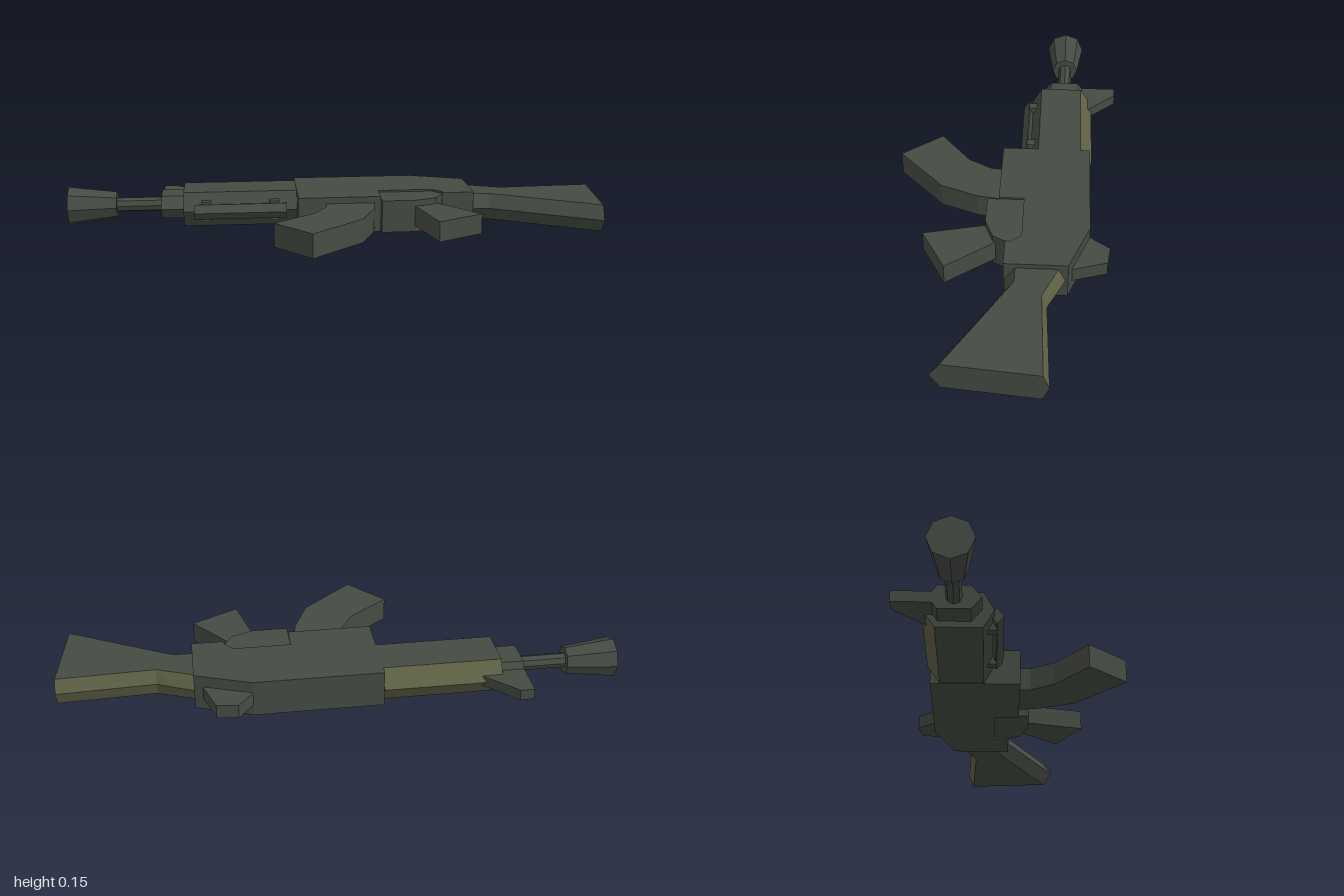
import * as THREE from 'three';

const MID = 0.076; // height of the plane of symmetry

export function createModel() {
  const model = new THREE.Group();
  const metal = new THREE.MeshStandardMaterial({ color: 0x454b43 });
  metal.name = 'greyGreenMetal';
  const olive = new THREE.MeshStandardMaterial({ color: 0x5f6145 });
  olive.name = 'olive';

  function add(name, geometry, material = metal) {
    const mesh = new THREE.Mesh(geometry, material);
    mesh.name = name;
    model.add(mesh);
    return mesh;
  }

  // Flat plate: outline in (x, z), thickness centred on MID
  function plate(name, points, half) {
    const shape = new THREE.Shape(points.map(([x, z]) => new THREE.Vector2(x, -z)));
    const g = new THREE.ExtrudeGeometry(shape, { depth: half * 2, bevelEnabled: false });
    g.rotateX(-Math.PI / 2).translate(0, MID - half, 0);
    add(name, g);
  }

  // Six-sided loft along x. Section: [x at top, x at bottom, top ridge z, top flat z, bottom flat z, bottom ridge z]
  function hexLoft(name, sections, half, topMaterial = metal) {
    const rings = sections.map(([xa, xb, a, b, c, d]) => [[0, a], [half, b], [half, c], [0, d], [-half, c], [-half, b]]
      .map(([y, z]) => [xa + (xb - xa) * (z - a) / (d - a), MID + y, z]));
    const plain = [], top = [];
    for (let k = 0; k < rings.length - 1; k++) {
      for (let i = 0; i < 6; i++) {
        const j = (i + 1) % 6;
        const a = rings[k][i], b = rings[k][j], c = rings[k + 1][j], d = rings[k + 1][i];
        (i === 0 || i === 5 ? top : plain).push(a, b, c, a, c, d);
      }
    }
    const first = rings[0], last = rings[rings.length - 1];
    for (let i = 1; i < 5; i++) plain.push(last[0], last[i], last[i + 1], first[0], first[i + 1], first[i]);
    const g = new THREE.BufferGeometry();
    g.setAttribute('position', new THREE.Float32BufferAttribute([...plain, ...top].flat(), 3));
    g.addGroup(0, plain.length, 0);
    g.addGroup(plain.length, top.length, 1);
    g.computeVertexNormals();
    add(name, g, [metal, topMaterial]);
  }

  // Eight-sided tube along x
  function tube(name, x0, x1, r0, r1) {
    const g = new THREE.CylinderGeometry(r0, r1, x1 - x0, 8).toNonIndexed();
    g.rotateZ(Math.PI / 2).translate((x0 + x1) / 2, MID, -0.205);
    g.computeVertexNormals();
    add(name, g);
  }

  // Barrel and flared muzzle
  tube('muzzle', -1, -0.82, 0.074, 0.051);
  tube('barrel', -0.83, -0.6, 0.027, 0.027);

  // Front block, handguard and the rail below it
  hexLoft('frontBlock', [
    [-0.65, -0.65, -0.29, -0.26, -0.15, -0.115],
    [-0.56, -0.56, -0.29, -0.26, -0.15, -0.115]], 0.043);
  hexLoft('handguard', [
    [-0.565, -0.565, -0.315, -0.27, -0.112, -0.075],
    [-0.14, -0.14, -0.315, -0.27, -0.112, -0.075]], 0.065, olive);
  hexLoft('lowerRail', [
    [-0.525, -0.525, -0.085, -0.07, -0.065, -0.043],
    [-0.18, -0.18, -0.085, -0.07, -0.065, -0.043]], 0.028);
  for (const x of [-0.48, -0.225]) {
    const g = new THREE.BoxGeometry(0.035, 0.075, 0.04);
    g.translate(x, MID, -0.085);
    add('railBracket', g);
  }

  // Receiver with a notch for the trigger housing
  plate('receiver', [[-0.14, -0.305], [0.32, -0.305], [0.52, -0.232], [0.52, -0.015],
    [0.4, -0.015], [0.405, -0.03], [0.37, -0.07], [0.165, -0.07], [0.165, 0.02], [-0.14, 0.02]], 0.067);
  plate('triggerHousing', [[0.165, -0.07], [0.37, -0.07], [0.405, -0.03], [0.37, 0.03],
    [0.29, 0.06], [0.165, 0.06]], 0.06);

  // Sights
  plate('frontSight', [[-0.65, -0.41], [-0.6, -0.41], [-0.49, -0.3], [-0.49, -0.25], [-0.65, -0.25]], 0.02);
  plate('rearSight', [[0.32, -0.305], [0.375, -0.375], [0.45, -0.365], [0.49, -0.245], [0.33, -0.245]], 0.025);

  // Magazine and grip
  plate('magazine', [[-0.035, 0], [0.147, 0], [0.13, 0.1], [0.075, 0.235], [-0.115, 0.405],
    [-0.24, 0.26], [-0.09, 0.145], [-0.04, 0.06]], 0.0435);
  plate('grip', [[0.28, 0.03], [0.36, 0], [0.39, 0.035], [0.51, 0.185], [0.34, 0.275]], 0.037);

  // Stock
  hexLoft('stock', [
    [0.5, 0.5, -0.232, -0.208, -0.055, -0.02],
    [0.585, 0.585, -0.195, -0.173, -0.055, -0.02],
    [0.65, 0.65, -0.165, -0.147, -0.02, 0.015],
    [1, 0.963, -0.182, -0.162, 0.152, 0.187]], 0.05, olive);

  return model;
}
